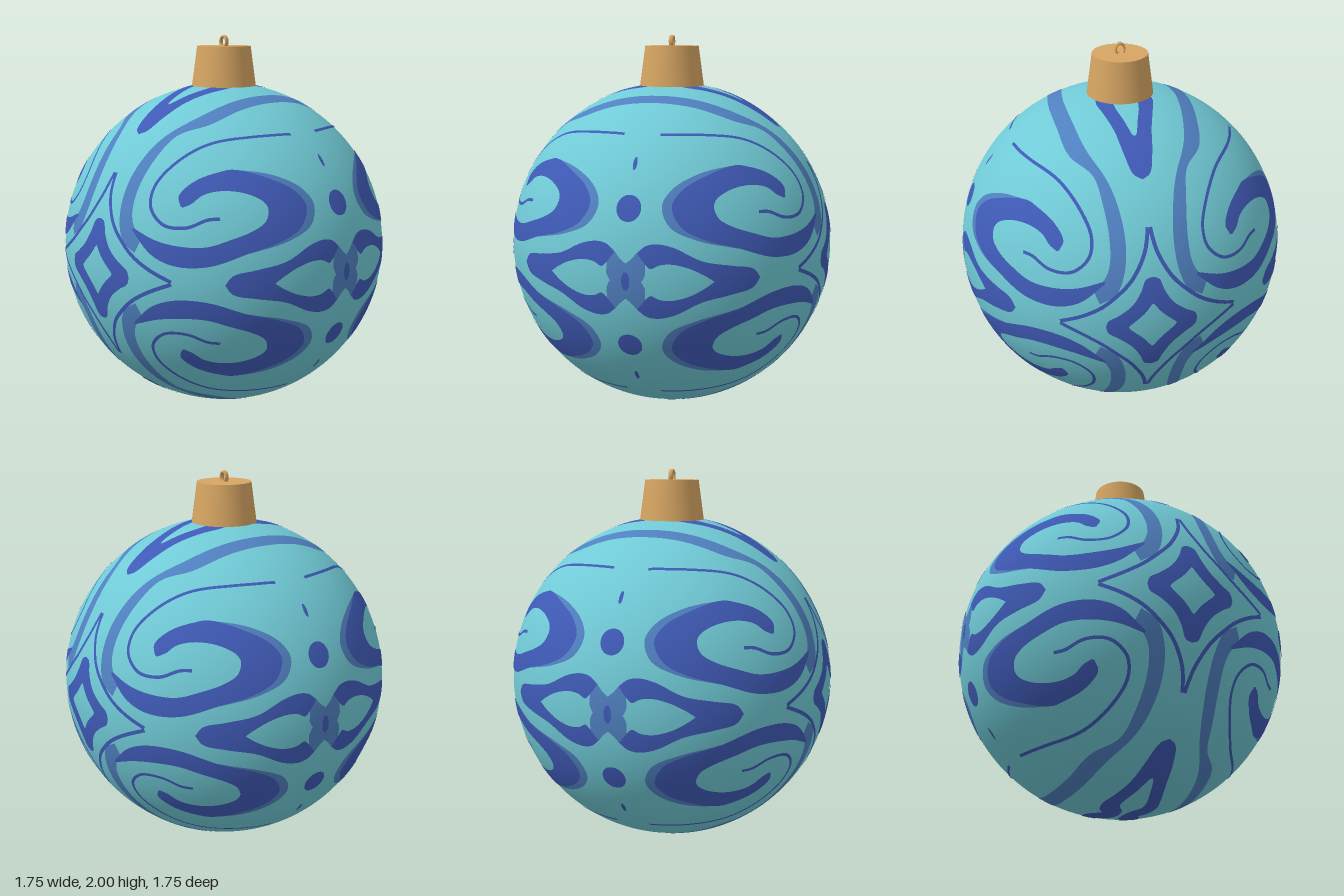
import * as THREE from 'three';

const R = 0.873;
const mat = (name, color) => {
  const m = new THREE.MeshStandardMaterial({ color });
  m.name = name;
  return m;
};

// Points on the ball given by two coordinates, seen from the side, the front or the top
const lift = (a, b) => Math.sqrt(Math.max(0, R * R - a * a - b * b));
const s = (z, y) => new THREE.Vector3(lift(z, y), y, z);
const f = (x, y) => new THREE.Vector3(x, y, lift(x, y));
const t = (x, z) => new THREE.Vector3(x, lift(x, z), z);

// Painted surface between two edge curves, repeated in all eight octants
function paint(sections, radius) {
  const edges = [0, 1].map((i) => new THREE.CatmullRomCurve3(sections.map((p) => p[i])));
  const nu = (sections.length - 1) * 6, nv = 6;
  const pos = [], nor = [], idx = [];
  const v = [0, 1, 2].map(() => new THREE.Vector3());
  for (const sx of [1, -1]) for (const sy of [1, -1]) for (const sz of [1, -1]) {
    const base = pos.length / 3;
    for (let i = 0; i <= nu; i++) {
      const a = edges[0].getPoint(i / nu), b = edges[1].getPoint(i / nu);
      for (let j = 0; j <= nv; j++) {
        const n = a.clone().lerp(b, j / nv).normalize();
        n.set(n.x * sx, n.y * sy, n.z * sz);
        nor.push(n.x, n.y, n.z);
        pos.push(n.x * radius, n.y * radius, n.z * radius);
      }
    }
    const tri = (a, b, c) => {
      [a, b, c].forEach((k, i) => v[i].fromArray(pos, k * 3));
      const n = v[1].clone().sub(v[0]).cross(v[2].clone().sub(v[0]));
      if (n.dot(v[0]) > 0) idx.push(a, b, c);
      else idx.push(a, c, b);
    };
    for (let i = 0; i < nu; i++) for (let j = 0; j < nv; j++) {
      const k = base + i * (nv + 1) + j;
      tri(k, k + 1, k + nv + 1);
      tri(k + 1, k + nv + 2, k + nv + 1);
    }
  }
  const g = new THREE.BufferGeometry();
  g.setAttribute('position', new THREE.Float32BufferAttribute(pos, 3));
  g.setAttribute('normal', new THREE.Float32BufferAttribute(nor, 3));
  g.setIndex(idx);
  return g;
}

// Edge pairs for a thin line along a path
const line = (pts, width) => pts.map((p, i) => {
  const along = pts[Math.min(i + 1, pts.length - 1)].clone().sub(pts[Math.max(i - 1, 0)]);
  const side = p.clone().cross(along).setLength(width / 2);
  return [p.clone().add(side), p.clone().sub(side)];
});

// Edge pairs for half an ellipse on the front seam
const dot = (y, rx, ry) => Array.from({ length: 9 }, (_, i) => {
  const a = (i / 8 - 0.5) * Math.PI;
  return [f(rx * Math.cos(a), y + ry * Math.sin(a)), f(0, y + 0.02 * ry * Math.sin(a))];
});

export function createModel() {
  const teal = mat('teal', 0x70cad6);
  const navy = mat('deep blue', 0x3f5ab6);
  const sky = mat('mid blue', 0x5080c0);
  const gold = mat('gold', 0xd6a562);

  const group = new THREE.Group();
  group.name = 'ornament';
  const add = (name, geometry, material, y = R) => {
    const mesh = new THREE.Mesh(geometry, material);
    mesh.name = name;
    mesh.position.y = y;
    group.add(mesh);
    return mesh;
  };
  const dark = (name, sections) => add(name, paint(sections, R + 0.003), navy);
  const light = (name, sections) => add(name, paint(sections, R + 0.0018), sky);

  add('ball', new THREE.SphereGeometry(R, 128, 80), teal);

  // Concentric diamonds in the middle of each side
  dark('sideDiamond', [
    [s(0, 0.257), s(0, 0.125)], [s(0.032, 0.245), s(0.01, 0.115)], [s(0.058, 0.185), s(0.03, 0.088)],
    [s(0.1, 0.12), s(0.058, 0.058)], [s(0.165, 0.066), s(0.085, 0.034)],
    [s(0.213, 0.035), s(0.11, 0.011)], [s(0.225, 0), s(0.118, 0)],
  ]);
  dark('diamondOutline', line([
    s(0.006, 0.47), s(0.015, 0.42), s(0.035, 0.355), s(0.095, 0.25), s(0.16, 0.18),
    s(0.24, 0.11), s(0.33, 0.055), s(0.435, 0.005),
  ], 0.019));

  // Long bands sweeping over the top and down the sides
  light('sweepingBand', [
    [t(0, 0.295), t(0, 0.37)], [t(0.2, 0.28), t(0.2, 0.357)], [t(0.4, 0.243), t(0.4, 0.322)],
    [s(0.165, 0.64), s(0.228, 0.655)], [s(0.132, 0.55), s(0.202, 0.565)], [s(0.115, 0.42), s(0.187, 0.42)],
    [s(0.13, 0.28), s(0.2, 0.3)], [s(0.175, 0.175), s(0.235, 0.235)], [s(0.25, 0.125), s(0.28, 0.2)],
  ]);

  // Curled leaves with a paler rim
  dark('curl', [
    [s(0.418, 0.355), s(0.43, 0.35)], [s(0.395, 0.4), s(0.46, 0.37)], [s(0.43, 0.465), s(0.485, 0.405)],
    [s(0.5, 0.507), s(0.535, 0.425)], [f(0.455, 0.517), f(0.47, 0.42)], [f(0.33, 0.475), f(0.415, 0.395)],
    [f(0.235, 0.415), f(0.39, 0.37)], [f(0.2, 0.345), f(0.385, 0.34)], [f(0.25, 0.255), f(0.41, 0.29)],
    [f(0.36, 0.195), f(0.47, 0.25)], [f(0.5, 0.15), f(0.565, 0.21)], [s(0.58, 0.088), s(0.56, 0.178)],
    [s(0.45, 0.083), s(0.46, 0.176)], [s(0.34, 0.125), s(0.35, 0.195)], [s(0.22, 0.23), s(0.225, 0.24)],
  ]);
  light('curlRim', [
    [f(0.45, 0.517), f(0.45, 0.45)], [f(0.3, 0.487), f(0.37, 0.42)], [f(0.19, 0.42), f(0.3, 0.38)],
    [f(0.155, 0.345), f(0.3, 0.345)], [f(0.2, 0.255), f(0.32, 0.28)], [f(0.33, 0.193), f(0.42, 0.24)],
    [f(0.5, 0.148), f(0.52, 0.2)],
  ]);
  dark('spiralLine', line([
    t(0.09, 0.57), t(0.2, 0.54), t(0.3, 0.497), s(0.385, 0.62), s(0.305, 0.53), s(0.268, 0.43),
    s(0.288, 0.34), s(0.37, 0.268), s(0.47, 0.262), s(0.54, 0.3), s(0.58, 0.305),
  ], 0.016));

  // Paired eye shapes along the front and back seam
  light('eyeCrossing', [
    [f(0, 0.085), f(0, 0)], [f(0.03, 0.11), f(0.045, 0)], [f(0.06, 0.145), f(0.075, 0)],
    [f(0.09, 0.165), f(0.095, 0.035)],
  ]);
  dark('frontEye', [
    [f(0.055, 0.135), f(0.095, 0.085)], [f(0.09, 0.168), f(0.12, 0.065)], [f(0.14, 0.18), f(0.16, 0.083)],
    [f(0.22, 0.165), f(0.22, 0.087)], [f(0.35, 0.1), f(0.3, 0.065)], [f(0.48, 0.07), f(0.36, 0.033)],
    [f(0.57, 0.045), f(0.39, 0.012)], [f(0.598, 0), f(0.405, 0)],
  ]);
  dark('eyePupil', dot(0, 0.02, 0.045));

  // Eye shapes on the top and bottom
  dark('poleEye', [
    [t(0, 0.1), t(0, 0.01)], [t(0.05, 0.132), t(0.07, 0.02)], [t(0.13, 0.145), t(0.14, 0.06)],
    [t(0.22, 0.125), t(0.2, 0.058)], [t(0.35, 0.092), t(0.29, 0.035)], [t(0.48, 0.068), t(0.35, 0.02)],
    [t(0.565, 0.04), t(0.38, 0.01)], [t(0.588, 0), t(0.39, 0)],
  ]);

  // Dots and dashes on the seam
  dark('seamDot', dot(0.335, 0.06, 0.06));
  dark('seamDash', dot(0.53, 0.01, 0.028));

  // Metal cap and hanging loop
  add('cap', new THREE.CylinderGeometry(0.143, 0.172, 0.21, 64), gold, 1.838);
  const loop = add('hangingLoop', new THREE.TorusGeometry(0.022, 0.006, 10, 32), gold, 1.964);
  loop.rotation.y = Math.PI / 2;
  loop.scale.set(1, 1.28, 2.1);

  return group;
}
